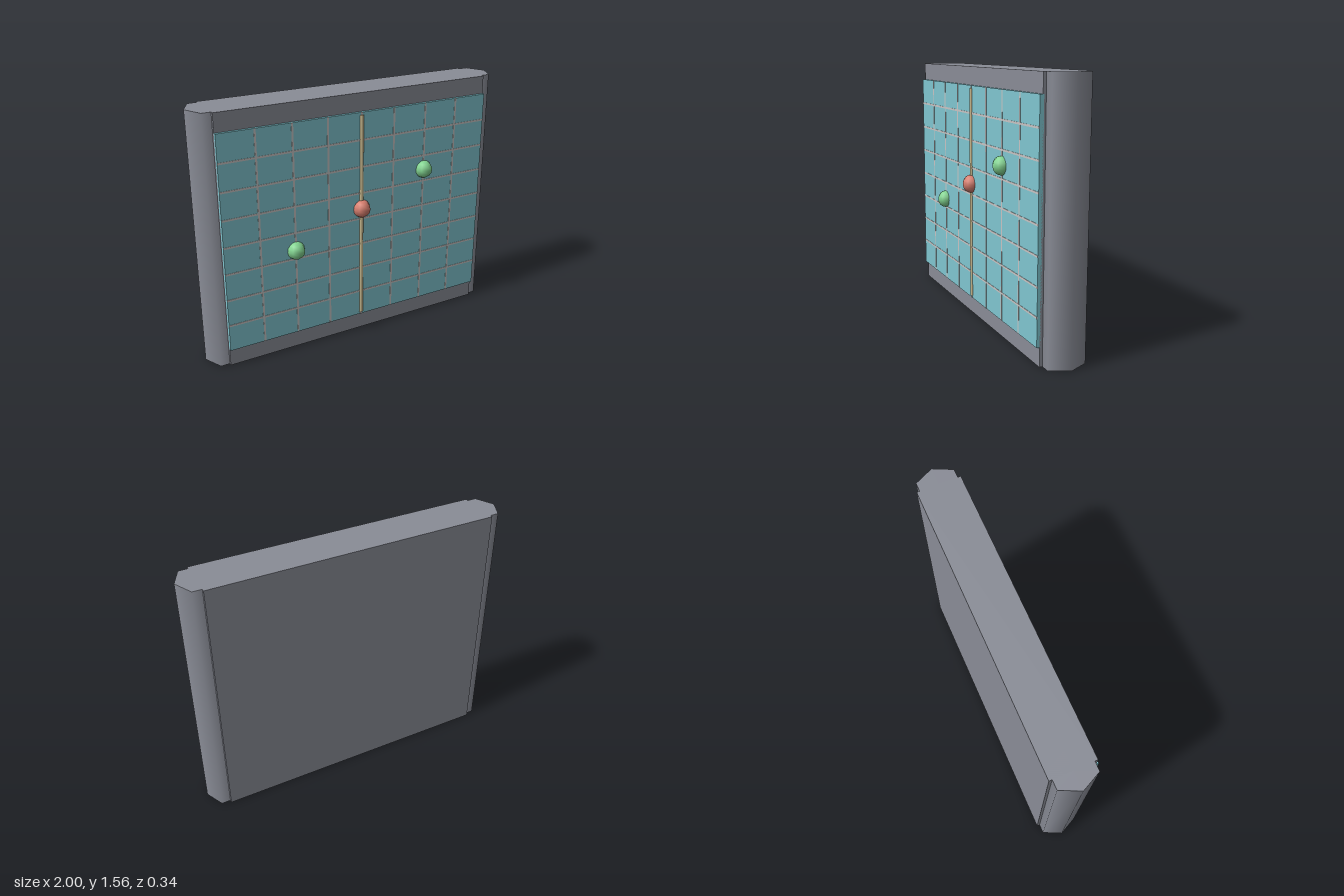
import * as THREE from 'three';

const U = 1 / 9; // layout unit: the model is 18 units wide
const H = 14 * U, BODY_Z = -0.038, BODY_D = 0.267, PANEL_FRONT = 0.113;

function material(name, color) {
  const m = new THREE.MeshStandardMaterial({ color });
  m.name = name;
  return m;
}

export function createModel() {
  const group = new THREE.Group();
  const grey = material('caseGrey', 0x8a8d97);
  const teal = material('panelTeal', 0x80c7d1);
  const pale = material('gridPale', 0xc9c6c6);
  const tan = material('needleTan', 0xcbbb90);
  const green = material('markerGreen', 0x84d692);
  const red = material('markerRed', 0xd98070);

  const add = (name, geometry, mat, x, y, z) => {
    const mesh = new THREE.Mesh(geometry, mat);
    mesh.name = name;
    mesh.position.set(x, y, z);
    group.add(mesh);
    return mesh;
  };

  // Case with a six-sided rounded rail at each end
  add('case', new THREE.BoxGeometry(16 * U, H, BODY_D), grey, 0, H / 2, BODY_Z);
  for (const s of [-1, 1]) {
    const rail = new THREE.CylinderGeometry(U, U, H, 6, 1, false, Math.PI / 2);
    rail.scale(1, 1, 1.2);
    add(s > 0 ? 'leftRail' : 'rightRail', rail, grey, s * 8 * U, H / 2, BODY_Z);
  }

  // Display panel
  add('panel', new THREE.BoxGeometry(16 * U, 12 * U, 0.024), teal, 0, 7 * U, PANEL_FRONT - 0.012);

  // Grid lines, just proud of the panel
  for (let i = -3; i <= 3; i++) {
    add('verticalLine', new THREE.BoxGeometry(0.012, 12 * U, 0.004), pale, i * 2 * U, 7 * U, PANEL_FRONT);
    add('horizontalLine', new THREE.BoxGeometry(16 * U, 0.012, 0.004), pale, 0, (7 + i * 1.5) * U, PANEL_FRONT);
  }

  // Upright needle in the middle
  add('needle', new THREE.CylinderGeometry(0.0133, 0.0133, 1.3, 8), tan, 0, 7 * U, 0.111);

  // Round markers
  const ball = new THREE.SphereGeometry(0.5 * U, 8, 8);
  for (const [name, mat, x, y] of [
    ['rightMarker', green, -4, 6],
    ['centreMarker', red, 0, 7.6],
    ['leftMarker', green, 4, 9.2],
  ]) add(name, ball, mat, x * U, y * U, 0.1155);

  return group;
}
